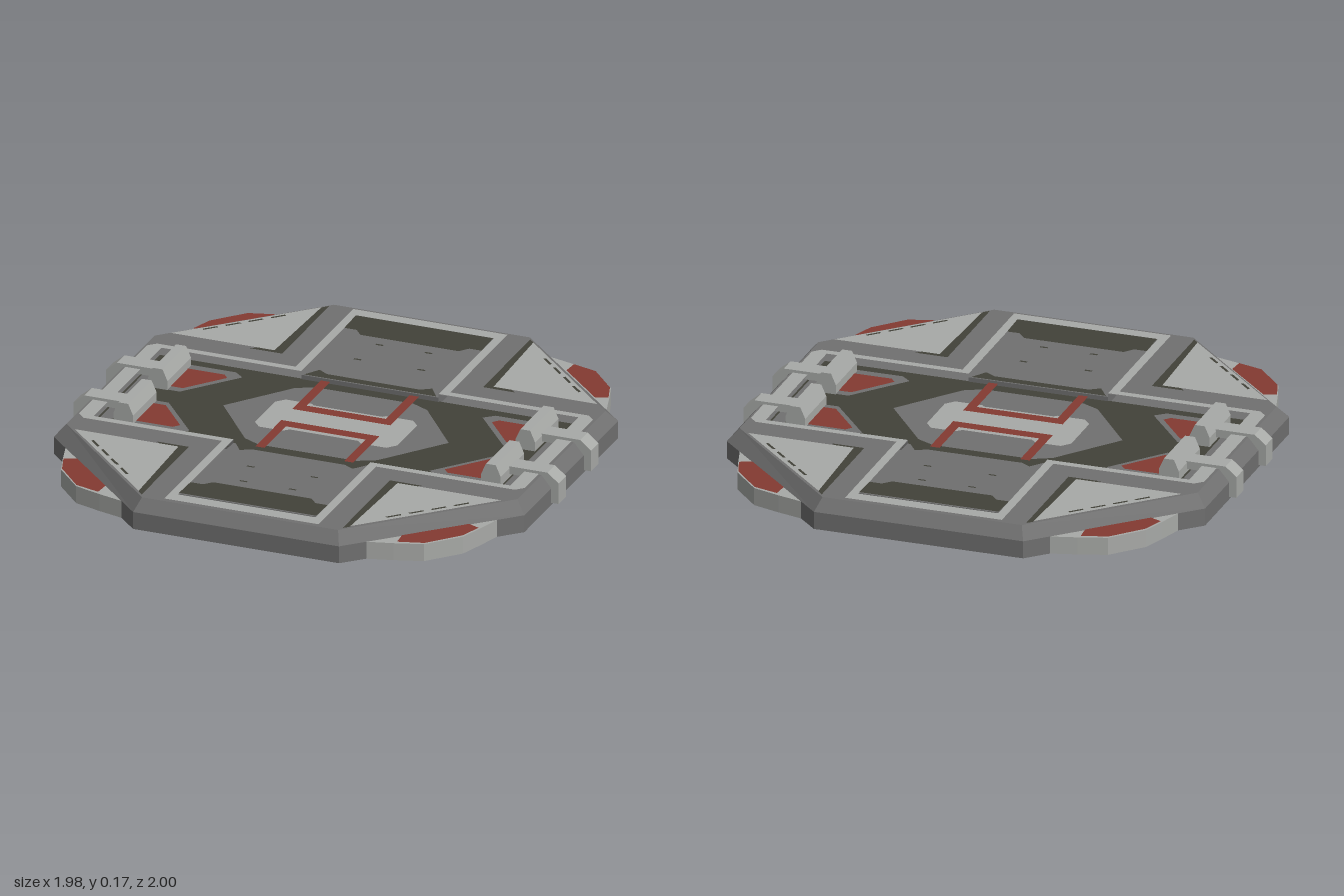
import * as THREE from 'three';

const mat = (name, color) => {
  const m = new THREE.MeshStandardMaterial({ color });
  m.name = name;
  return m;
};

export function createModel() {
  const gray = mat('mid gray', 0x707070);
  const light = mat('light gray', 0xa8aaa7);
  const olive = mat('dark olive', 0x424239);
  const red = mat('dull red', 0x843a32);
  const model = new THREE.Group();

  const add = (name, geometry, material) => {
    const mesh = new THREE.Mesh(geometry, material);
    mesh.name = name;
    model.add(mesh);
    return mesh;
  };
  // Points are given as [x, z] on the ground plan
  const toV = pts => pts.map(([x, z]) => new THREE.Vector2(x, -z));
  const plan = (pts, hole) => {
    const s = new THREE.Shape(toV(pts));
    if (hole) s.holes.push(new THREE.Path(toV(hole)));
    return s;
  };
  // Upright block with a plan outline
  const slab = (name, pts, y0, y1, material, hole) => {
    const g = new THREE.ExtrudeGeometry(plan(pts, hole), { depth: y1 - y0, bevelEnabled: false });
    g.rotateX(-Math.PI / 2).translate(0, y0, 0);
    return add(name, g, material);
  };
  // Flat painted plate; y may be a height or a function of z
  const plate = (name, pts, y, material, hole) => {
    const g = new THREE.ShapeGeometry(plan(pts, hole)).rotateX(-Math.PI / 2);
    const p = g.attributes.position;
    for (let i = 0; i < p.count; i++) p.setY(i, typeof y === 'function' ? y(p.getZ(i)) : y);
    g.computeVertexNormals();
    return add(name, g, material);
  };
  const rect = (x0, z0, x1, z1) => [[x0, z0], [x1, z0], [x1, z1], [x0, z1]];
  const flip = (pts, sx, sz) => pts.map(([x, z]) => [x * sx, z * sz]);
  // Mirror one quadrant of an outline into a closed loop
  const four = q => [...q, ...flip(q, -1, 1).reverse(), ...flip(q, -1, -1), ...flip(q, 1, -1).reverse()];
  const quadrants = [[1, 1], [-1, 1], [-1, -1], [1, -1]];

  // Base, bevel and deck with a cross-shaped recess
  const outer = four([[0.96, 0.47], [0.42, 1]]);
  const inner = four([[0.92, 0.44], [0.4, 0.96]]);
  const cross = four([[0.85, 0.34], [0.28, 0.34], [0.28, 0.89]]);
  const DECK = 0.118, FLOOR = 0.088;
  slab('base', outer, 0, 0.07, gray);
  const bevel = [];
  outer.forEach(([ax, az], i) => {
    const j = (i + 1) % outer.length;
    const a = [ax, 0.07, az], b = [outer[j][0], 0.07, outer[j][1]];
    const c = [inner[j][0], DECK, inner[j][1]], d = [inner[i][0], DECK, inner[i][1]];
    bevel.push(...a, ...c, ...b, ...a, ...d, ...c);
  });
  const bg = new THREE.BufferGeometry();
  bg.setAttribute('position', new THREE.Float32BufferAttribute(bevel, 3));
  bg.computeVertexNormals();
  add('edgeBevel', bg, gray);
  slab('deck', inner, 0.075, DECK, gray, cross);
  const trim = four([[0.91, 0.34], [0.88, 0.37], [0.315, 0.37], [0.315, 0.945]]);
  plate('recessTrim', trim, DECK + 0.003, light, cross);

  // Central channel and its markings
  plate('channelFloor', rect(-0.86, -0.345, 0.86, 0.345), FLOOR, olive);
  plate('centerPanel', [[0.46, 0], [0.27, 0.25], [0.2, 0.285], [-0.2, 0.285], [-0.27, 0.25],
    [-0.46, 0], [-0.27, -0.25], [-0.2, -0.285], [0.2, -0.285], [0.27, -0.25]], FLOOR + 0.002, gray);
  plate('centerMark', four([[0.29, 0.1], [0.26, 0.135], [0.16, 0.135]]), FLOOR + 0.004, light);

  for (const s of [1, -1]) {
    plate('insetPanel', flip([[-0.16, 0.25], [0.16, 0.25], [0.16, 0.14], [0.14, 0.12],
      [-0.14, 0.12], [-0.16, 0.14]], 1, s), FLOOR + 0.006, gray);
    plate('redBracket', flip([[-0.2, 0.34], [-0.2, 0.055], [0.2, 0.055], [0.2, 0.34],
      [0.162, 0.34], [0.162, 0.103], [-0.162, 0.103], [-0.162, 0.34]], 1, s), FLOOR + 0.008, red);
    plate('channelEnd', rect(s * 0.8, -0.28, s * 0.85, 0.28), FLOOR + 0.002, gray);

    // Ramp rising gently towards the outer edge
    const rampY = z => 0.106 + (Math.abs(z) - 0.34) * 0.032;
    const ramp = new THREE.BoxGeometry(0.56, 0.04, 0.55).translate(0, 0, s * 0.615);
    const p = ramp.attributes.position;
    for (let i = 0; i < p.count; i++) p.setY(i, p.getY(i) > 0 ? rampY(p.getZ(i)) : 0.075);
    ramp.computeVertexNormals();
    add('ramp', ramp, gray);
    plate('rampOuterPatch', flip([[-0.28, 0.885], [0.28, 0.885], [0.28, 0.77], [0.23, 0.77],
      [0.2, 0.735], [-0.2, 0.735], [-0.23, 0.77], [-0.28, 0.77]], 1, s), z => rampY(z) + 0.002, olive);
    plate('rampLip', flip([[-0.27, 0.342], [0.27, 0.342], [0.23, 0.4], [0.19, 0.375],
      [-0.19, 0.375], [-0.23, 0.4]], 1, s), z => rampY(z) + 0.002, olive);
    for (const [x, z] of [[0.1, 0.68], [-0.1, 0.68], [0.13, 0.535], [-0.13, 0.535]])
      plate('rampSlot', rect(x - 0.015, s * z - 0.005, x + 0.015, s * z + 0.005), y => rampY(y) + 0.002, olive);
  }

  // Profiles for the clamps and locking blocks
  const extrudeXY = (pts, w) => new THREE.ExtrudeGeometry(
    new THREE.Shape(pts.map(([x, y]) => new THREE.Vector2(x, y))),
    { depth: w, bevelEnabled: false }).translate(0, 0, -w / 2);
  const clamp = extrudeXY([[0.78, 0.1], [0.9, 0.1], [0.93, 0.06], [0.95, 0.01], [0.99, 0.01],
    [0.99, 0.095], [0.945, 0.132], [0.78, 0.132]], 0.075);
  const block = extrudeXY([[0.71, 0.085], [0.79, 0.085], [0.79, 0.125], [0.77, 0.17],
    [0.73, 0.17], [0.71, 0.125]], 0.235);

  for (const [sx, sz] of quadrants) {
    const q = pts => flip(pts, sx, sz);
    // Corner foot with red paint
    slab('cornerFoot', q([[0.5, 0.9215], [0.6, 0.895], [0.71, 0.86], [0.82, 0.74], [0.85, 0.65],
      [0.88, 0.5485]]), 0, 0.07, light);
    plate('cornerPaint', q([[0.61, 0.885], [0.71, 0.857], [0.817, 0.738], [0.847, 0.65],
      [0.8, 0.63], [0.605, 0.822]]), 0.074, red);
    // Corner triangle with dark edging
    plate('triangleEdging', q([[0.41, 0.94], [0.41, 0.465], [0.54, 0.465], [0.5, 0.5], [0.43, 0.92]]),
      DECK + 0.0015, olive);
    plate('cornerTriangle', q([[0.432, 0.915], [0.447, 0.48], [0.87, 0.48]]), DECK + 0.003, light);
    for (const t of [0.3, 0.45, 0.6, 0.75]) {
      const x = 0.432 + 0.438 * t - 0.015, z = 0.915 - 0.435 * t - 0.015;
      plate('triangleSlot', q([[x - 0.025, z + 0.02], [x + 0.02, z - 0.025],
        [x + 0.025, z - 0.015], [x - 0.015, z + 0.025]]), DECK + 0.005, olive);
    }
    // Red pads at the channel ends
    plate('padBorder', q([[0.74, 0.3], [0.53, 0.3], [0.49, 0.265], [0.66, 0.055], [0.74, 0.055]]),
      FLOOR + 0.002, gray);
    plate('redPad', q([[0.71, 0.26], [0.56, 0.26], [0.54, 0.235], [0.66, 0.085], [0.71, 0.085]]),
      FLOOR + 0.004, red);
    // Clamp and locking block
    for (const [name, g, z] of [['clamp', clamp, 0.163], ['lockBlock', block, 0.172]]) {
      const m = add(name, g, light);
      m.position.z = sz * z;
      if (sx < 0) m.rotation.y = Math.PI;
    }
  }
  return model;
}
